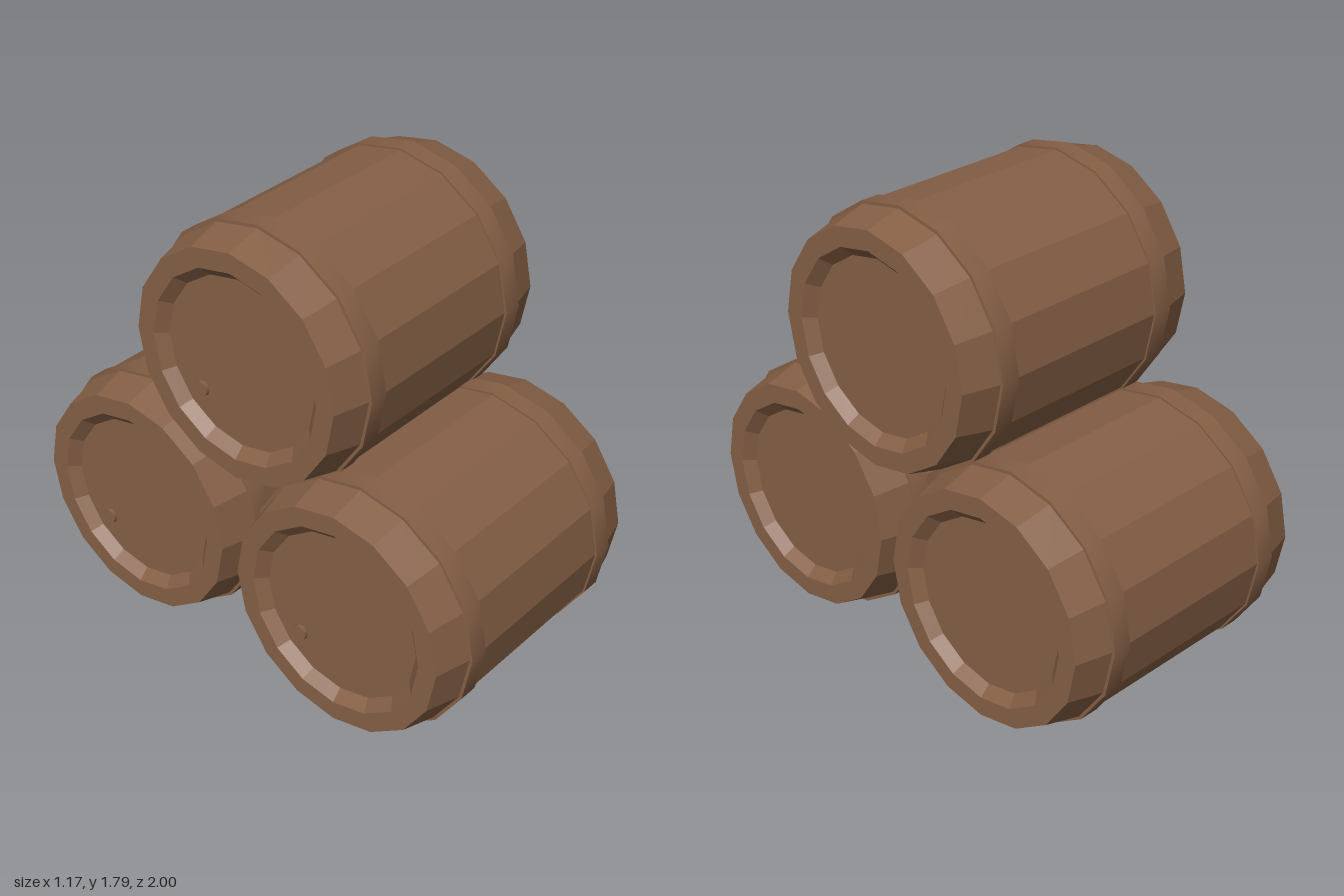
import * as THREE from 'three';
import { toCreasedNormals } from 'three/addons/utils/BufferGeometryUtils.js';

const SIDES = 16;
const HALF = 0.557;    // half length of a barrel
const RECESS = 0.04;   // depth of the heads below the rim

// Turned part whose axis lies along x; points are [radius, x]
function turned(points, crease) {
  const geo = new THREE.LatheGeometry(points.map(([r, x]) => new THREE.Vector2(r, x)), SIDES);
  geo.rotateZ(-Math.PI / 2);
  return toCreasedNormals(geo, crease);
}

export function createModel() {
  const model = new THREE.Group();
  model.name = 'barrelStack';
  const wood = new THREE.MeshStandardMaterial({ color: 0x855f45 });
  wood.name = 'brown wood';

  // Faceted staves with tapered ends, flat rims and sloping inner walls
  const half = [[0.33, HALF - RECESS], [0.37, HALF], [0.445, HALF], [0.485, 0.4]];
  const stavesGeo = turned(
    [...half.map(([r, x]) => [r, -x]), ...half.slice().reverse()], 0.02);

  // Hoop with a rectangular section
  const w = 0.038;
  const hoopGeo = turned(
    [[0.45, -w], [0.4925, -w], [0.4925, w], [0.45, w]], 0.6);

  const headGeo = new THREE.CircleGeometry(0.33, SIDES);
  const bungGeo = new THREE.CylinderGeometry(0.03, 0.03, 0.03, 10).rotateZ(Math.PI / 2);

  function barrel(name, x, y, z) {
    const group = new THREE.Group();
    group.name = name;
    group.position.set(x, y, z);
    const add = (geo, part, px = 0, py = 0, pz = 0) => {
      const mesh = new THREE.Mesh(geo, wood);
      mesh.name = part;
      mesh.position.set(px, py, pz);
      group.add(mesh);
      return mesh;
    };
    add(stavesGeo, 'staves');
    for (const s of [-1, 1]) {
      const side = s > 0 ? 'left' : 'right';
      add(hoopGeo, side + 'Hoop', s * 0.379);
      add(headGeo, side + 'Head', s * (HALF - RECESS)).rotation.y = s * Math.PI / 2;
    }
    // Bung low on the right head
    add(bungGeo, 'bung', -(HALF - RECESS), -0.165, -0.18);
    model.add(group);
  }

  barrel('frontBarrel', -0.028, 0.4925, 0.507);
  barrel('backBarrel', 0.026, 0.4925, -0.507);
  barrel('topBarrel', 0.026, 1.295, 0.018);
  return model;
}
